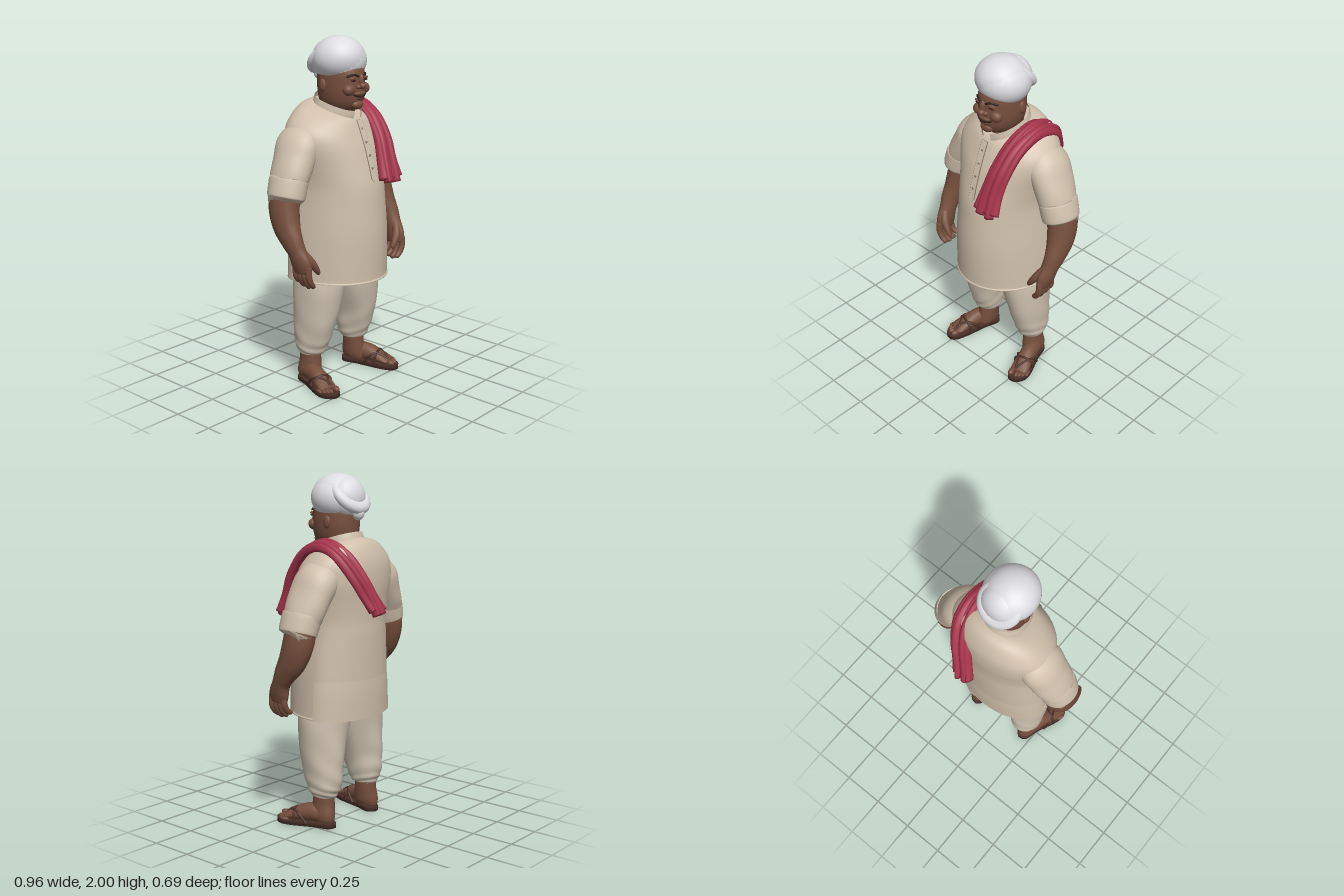
import * as THREE from 'three';

const mat = (name, color, side = THREE.FrontSide) => {
  const m = new THREE.MeshStandardMaterial({ color, side });
  m.name = name;
  return m;
};
const V = (x, y, z) => new THREE.Vector3(x, y, z);

// Catmull-Rom interpolation of rows of numbers
function smooth(rows, n = 6) {
  const out = [], last = rows.length - 1;
  for (let i = 0; i < last; i++) {
    const [a, b, c, d] = [rows[Math.max(i - 1, 0)], rows[i], rows[i + 1], rows[Math.min(i + 2, last)]];
    for (let k = 0; k < n; k++) {
      const t = k / n;
      out.push(b.map((_, j) => b[j] + 0.5 * t * (c[j] - a[j] + t * (2 * a[j] - 5 * b[j] + 4 * c[j] - d[j]
        + t * (3 * (b[j] - c[j]) + d[j] - a[j])))));
    }
  }
  out.push(rows[last]);
  return out;
}

// Skin a list of point rings; closed rings get end caps and outward winding
function loft(rings, closed = true) {
  const n = rings[0].length, pts = rings.flat(), idx = [];
  for (let i = 0; i < rings.length - 1; i++) {
    for (let j = 0; j < (closed ? n : n - 1); j++) {
      const k = (j + 1) % n, a = i * n + j, b = i * n + k;
      idx.push(a, b, a + n, b, b + n, a + n);
    }
  }
  if (closed) {
    for (const [r, flip] of [[0, true], [rings.length - 1, false]]) {
      const c = pts.length;
      pts.push(rings[r].reduce((s, p) => s.add(p), V(0, 0, 0)).divideScalar(n));
      for (let j = 0; j < n; j++) {
        const a = r * n + j, b = r * n + (j + 1) % n;
        idx.push(...(flip ? [b, a, c] : [a, b, c]));
      }
    }
    let vol = 0;
    for (let i = 0; i < idx.length; i += 3) {
      vol += pts[idx[i]].dot(V(0, 0, 0).crossVectors(pts[idx[i + 1]], pts[idx[i + 2]]));
    }
    if (vol < 0) idx.reverse();
  }
  const g = new THREE.BufferGeometry().setFromPoints(pts);
  g.setIndex(idx);
  g.computeVertexNormals();
  return g;
}

// Rows [x, y, z, rx, rz]: elliptical tube of changing size, with optional folds
function limb(rows, seg = 20, fold = () => 0) {
  const s = smooth(rows), X = V(1, 0, 0);
  return loft(s.map(([x, y, z, ra, rb], i) => {
    const p = s[Math.max(i - 1, 0)], q = s[Math.min(i + 1, s.length - 1)];
    const T = V(q[0] - p[0], q[1] - p[1], q[2] - p[2]).normalize();
    const B = T.clone().cross(X).normalize(), U = B.clone().cross(T);
    return Array.from({ length: seg }, (_, j) => {
      const a = j / seg * Math.PI * 2, f = 1 + fold(a, i / (s.length - 1));
      return V(x, y, z).addScaledVector(U, ra * f * Math.cos(a)).addScaledVector(B, rb * f * Math.sin(a));
    });
  }));
}

// Rows [y, rx, zFront, zBack, tilt]: level body rings about depth zc
function body(rows, zc, seg = 48, a0 = 0, a1 = Math.PI * 2, grow = 1) {
  const closed = a1 - a0 > 6.2, n = closed ? seg : seg + 1;
  return loft(smooth(rows).map(([y, rx, zf, zb, tilt]) => Array.from({ length: n }, (_, j) => {
    const a = a0 + (a1 - a0) * j / seg, s = Math.sin(a);
    const z = zc + s * grow * (s > 0 ? zf - zc : zc - zb);
    return V(rx * grow * Math.cos(a), y - tilt * z, z);
  })), closed);
}

export function createModel() {
  const root = new THREE.Group();
  root.name = 'standingMan';
  const M = {
    shirt: mat('shirtCream', 0xcfbfab, THREE.DoubleSide), trousers: mat('trouserCream', 0xd0c3b1),
    seam: mat('seamBrown', 0x84776a, THREE.DoubleSide), skin: mat('skinBrown', 0x764f3d),
    lip: mat('lipBrown', 0x64382f), dark: mat('darkBrown', 0x2a1c19),
    turban: mat('turbanWhite', 0xdddce1), scarf: mat('scarfRed', 0xa4334a),
    sandal: mat('sandalBrown', 0x4c3029), sole: mat('soleDark', 0x33241f),
  };
  const add = (name, geo, m, parent = root) => {
    const o = new THREE.Mesh(geo, m);
    o.name = name;
    parent.add(o);
    return o;
  };
  const ball = (name, m, p, r, parent = root) => {
    const o = add(name, new THREE.SphereGeometry(1, 28, 20), m, parent);
    o.position.set(...p);
    o.scale.set(...r);
    return o;
  };
  const cord = (name, m, pts, r, parent = root) =>
    add(name, new THREE.TubeGeometry(new THREE.CatmullRomCurve3(pts.map(p => V(...p))), 20, r, 8), m, parent);

  // Long shirt, with an overlapping back panel below the side slits
  add('shirt', body([[0.685, 0.2, 0.2, -0.12, 0], [0.657, 0.292, 0.316, -0.2, 0], [0.665, 0.296, 0.32, -0.205, 0],
    [0.9, 0.285, 0.325, -0.212, 0], [1.1, 0.268, 0.312, -0.216, 0], [1.2, 0.266, 0.3, -0.215, 0],
    [1.3, 0.283, 0.272, -0.22, 0], [1.4, 0.308, 0.24, -0.227, 0], [1.48, 0.308, 0.215, -0.222, 0.1],
    [1.54, 0.268, 0.195, -0.2, 0.18], [1.59, 0.2, 0.175, -0.165, 0.25], [1.615, 0.125, 0.15, -0.115, 0.3],
    [1.61, 0.09, 0.11, -0.09, 0.3]], -0.03), M.shirt);
  add('shirtBackPanel', body([[0.64, 0.298, 0.3, -0.207, 0], [0.78, 0.289, 0.3, -0.209, 0],
    [0.9, 0.276, 0.3, -0.205, 0]], -0.03, 32, Math.PI + 0.02, Math.PI * 2 - 0.02, 1.025), M.shirt);
  // Stand collar, open at the front
  add('collar', body([[1.575, 0.125, 0.155, -0.125, 0.3], [1.61, 0.122, 0.172, -0.118, 0.3],
    [1.65, 0.112, 0.178, -0.105, 0.3]], 0, 40, Math.PI * 0.57, Math.PI * 2.43), M.shirt);
  // Button placket
  const strip = (w, lift) => loft([[1.55, 0.18, 1], [1.505, 0.2, 1], [1.4585, 0.219, 1], [1.4, 0.242, 1],
    [1.3, 0.274, 1], [1.235, 0.292, 1], [1.21, 0.298, 0.1]]
    .map(([y, z, k]) => [V(-w * k, y, z + lift), V(w * k, y, z + lift)]), false);
  add('placketSeam', strip(0.023, 0.003), M.seam);
  add('placket', strip(0.019, 0.006), M.shirt);
  for (const [y, z] of [[1.5, 0.207], [1.43, 0.238], [1.36, 0.263], [1.29, 0.284]]) {
    ball('button', M.seam, [0, y, z], [0.007, 0.007, 0.004]);
  }

  for (const s of [1, -1]) {
    const side = s > 0 ? 'left' : 'right';
    const L = (rows, ...o) => limb(rows.map(([x, ...r]) => [x * s, ...r]), ...o);

    // Sleeves and turned cuffs
    add(side + 'Sleeve', L([[0.2, 1.48, -0.03, 0.08, 0.11], [0.26, 1.42, -0.03, 0.1, 0.134],
      [0.305, 1.34, -0.022, 0.098, 0.13], [0.345, 1.26, -0.015, 0.095, 0.122], [0.375, 1.19, -0.01, 0.088, 0.106]],
    28, (a, t) => 0.012 * Math.sin(3 * a + 9 * t)), M.shirt);
    add(side + 'Cuff', L([[0.358, 1.24, -0.01, 0.09, 0.11], [0.36, 1.235, -0.01, 0.098, 0.117],
      [0.386, 1.155, -0.005, 0.099, 0.112], [0.388, 1.148, -0.005, 0.091, 0.105]], 28), M.shirt);

    // Arm, palm, fingers and thumb
    add(side + 'Arm', L([[0.37, 1.22, -0.02, 0.08, 0.09], [0.393, 1.1, -0.015, 0.079, 0.092],
      [0.406, 1, 0.015, 0.069, 0.085], [0.414, 0.92, 0.065, 0.052, 0.068], [0.41, 0.86, 0.1, 0.044, 0.056],
      [0.405, 0.8, 0.123, 0.037, 0.066], [0.4, 0.75, 0.13, 0.027, 0.058]]), M.skin);
    for (let i = 0; i < 4; i++) {
      const z = 0.081 + i * 0.032, d = [0.025, 0.006, 0, 0.008][i];
      add(side + 'Finger', L([[0.405, 0.79, z, 0.018, 0.018], [0.405, 0.735, z + 0.002, 0.019, 0.018],
        [0.388, 0.69 + d / 2, z, 0.017, 0.0165], [0.363, 0.662 + d, z - 0.004, 0.014, 0.014],
        [0.357, 0.656 + d, z - 0.004, 0.005, 0.006]], 12), M.skin);
    }
    add(side + 'Thumb', L([[0.4, 0.86, 0.13, 0.024, 0.026], [0.37, 0.81, 0.163, 0.023, 0.024],
      [0.34, 0.765, 0.172, 0.018, 0.019], [0.322, 0.737, 0.172, 0.012, 0.013],
      [0.319, 0.732, 0.172, 0.005, 0.005]], 12), M.skin);

    // Loose trouser leg with gathered folds toward the ankle
    add(side + 'TrouserLeg', L([[0.13, 0.8, 0, 0.13, 0.16], [0.152, 0.6, 0.018, 0.138, 0.156],
      [0.176, 0.4, 0.005, 0.108, 0.136], [0.181, 0.28, -0.01, 0.094, 0.116], [0.183, 0.22, -0.015, 0.085, 0.098],
      [0.184, 0.19, -0.018, 0.073, 0.08], [0.184, 0.18, -0.018, 0.058, 0.066]],
    36, (a, t) => 0.035 * t * Math.sin(34 * t + 2 * Math.cos(a - 0.9 * s) * 2) + 0.012 * Math.sin(5 * a + 8 * t)), M.trousers);
    add(side + 'Ankle', L([[0.187, 0.24, -0.018, 0.052, 0.062], [0.19, 0.14, -0.015, 0.053, 0.07],
      [0.197, 0.07, -0.015, 0.055, 0.08], [0.198, 0.035, -0.015, 0.045, 0.075]]), M.skin);

    // Foot and sandal, turned outward
    const foot = new THREE.Group();
    foot.name = side + 'Foot';
    foot.position.set(0.235 * s, 0, 0.08);
    foot.rotation.y = 0.3 * s;
    root.add(foot);
    add('footBody', L([[0, 0.05, -0.168, 0.02, 0.018], [0, 0.058, -0.15, 0.04, 0.034], [0, 0.075, -0.08, 0.048, 0.052],
      [0, 0.075, -0.01, 0.047, 0.052], [0, 0.058, 0.06, 0.053, 0.036], [0, 0.044, 0.11, 0.054, 0.022],
      [0, 0.04, 0.135, 0.045, 0.014]]), M.skin, foot);
    for (let i = 0; i < 5; i++) {
      const r = i ? 0.0125 - i * 0.0006 : 0.018;
      ball('toe', M.skin, [s * (i ? -0.019 + i * 0.0185 : -0.036), 0.022 + r, 0.149 - i * i * 0.0022],
        [r, r, 0.026], foot);
    }
    const outline = new THREE.Shape(new THREE.SplineCurve([[0, -0.186], [0.042, -0.155], [0.043, -0.06], [0.06, 0.07],
      [0.05, 0.145], [0, 0.186], [-0.052, 0.165], [-0.06, 0.08], [-0.045, -0.06], [-0.042, -0.155], [0, -0.186]]
      .map(([x, y]) => new THREE.Vector2(x * s, y))).getPoints(40));
    for (const [name, m, y, h] of [['outsole', M.sole, 0, 0.014], ['insole', M.sandal, 0.014, 0.012]]) {
      const o = add(name, new THREE.ExtrudeGeometry(outline, { depth: h, bevelEnabled: false }), m, foot);
      o.rotation.x = Math.PI / 2;
      o.position.y = y + h;
    }
    for (const k of [1, -1]) {
      cord('thongStrap', M.sandal, [[-0.016 * s, 0.03, 0.14], [(-0.014 + 0.006 * k) * s, 0.062, 0.115],
        [0.034 * k, 0.086, 0.055], [0.054 * k, 0.07, 0.02], [0.052 * k, 0.02, -0.02]], 0.008, foot);
    }
    cord('instepStrap', M.sandal, [[-0.058, 0.02, 0.05], [-0.052, 0.07, 0.055], [0, 0.096, 0.06],
      [0.052, 0.07, 0.055], [0.058, 0.02, 0.05]], 0.008, foot);
  }

  // Neck and head
  add('neck', limb([[0, 1.5, 0.02, 0.1, 0.11], [0, 1.6, 0.025, 0.096, 0.1], [0, 1.74, 0.02, 0.1, 0.1]]), M.skin);
  add('head', body([[1.583, 0.05, 0.11, -0.03, 0], [1.605, 0.082, 0.16, -0.06, 0], [1.645, 0.105, 0.186, -0.08, 0],
    [1.7, 0.117, 0.196, -0.088, 0], [1.76, 0.119, 0.196, -0.09, 0], [1.8, 0.117, 0.194, -0.09, 0],
    [1.84, 0.11, 0.178, -0.09, 0], [1.9, 0.08, 0.13, -0.07, 0]], 0.04), M.skin);
  const faceZ = x => 0.04 + 0.157 * Math.sqrt(1 - (x / 0.118) ** 2);
  ball('noseBridge', M.skin, [0, 1.765, 0.195], [0.015, 0.036, 0.018]);
  ball('noseTip', M.skin, [0, 1.737, 0.207], [0.021, 0.018, 0.023]);
  ball('chin', M.skin, [0, 1.632, 0.168], [0.042, 0.028, 0.028]);
  ball('lowerLip', M.lip, [0, 1.668, 0.192], [0.032, 0.008, 0.01]);
  ball('upperLip', M.skin, [0, 1.694, 0.191], [0.04, 0.013, 0.013]);
  cord('mouth', M.dark, [-0.052, -0.028, 0, 0.028, 0.052].map(x => [x, 1.677 + 5 * x * x, faceZ(x) + 0.003]), 0.0045);
  for (const s of [1, -1]) {
    ball('nostril', M.skin, [0.02 * s, 1.732, 0.195], [0.014, 0.012, 0.015]);
    ball('cheek', M.skin, [0.062 * s, 1.716, 0.162], [0.036, 0.032, 0.031]);
    ball('ear', M.skin, [0.117 * s, 1.735, 0.02], [0.013, 0.036, 0.024]);
    ball('eye', M.dark, [0.047 * s, 1.766, faceZ(0.047)], [0.02, 0.006, 0.006]);
    ball('eyelid', M.skin, [0.047 * s, 1.778, faceZ(0.047) - 0.002], [0.026, 0.009, 0.01]);
    cord('eyebrow', M.dark, [0.018, 0.045, 0.078].map((x, i) => [x * s, [1.788, 1.799, 1.788][i], faceZ(x) + 0.001]), 0.006);
  }

  // Turban: two overlapping wraps, crown, rolled rim and knot
  for (const k of [1, -1]) {
    ball('turbanWrap', M.turban, [0.006 * k - 0.003, 1.868 - 0.007 * k, 0.04], [0.146, 0.126, 0.151]).rotation.x = -0.12;
  }
  ball('turbanCrown', M.turban, [0, 1.862, -0.025], [0.118, 0.118, 0.1]);
  const rim = add('turbanRim', new THREE.TorusGeometry(0.086, 0.036, 16, 48), M.turban);
  rim.position.set(-0.003, 1.882, -0.048);
  rim.rotation.x = 0.75;
  rim.scale.set(1.06, 1.1, 0.9);
  ball('turbanKnot', M.turban, [0, 1.785, -0.11], [0.034, 0.042, 0.034]);

  // Scarf over the left shoulder: [centre x, y, z, half width], laid in long folds
  const drape = [[0.128, 1.205, 0.312, 0.062], [0.135, 1.32, 0.272, 0.05], [0.152, 1.44, 0.222, 0.045],
    [0.168, 1.55, 0.138, 0.042], [0.182, 1.612, 0.035, 0.04], [0.183, 1.613, -0.06, 0.042],
    [0.168, 1.55, -0.152, 0.045], [0.13, 1.44, -0.222, 0.045], [0.092, 1.34, -0.262, 0.042],
    [0.06, 1.25, -0.298, 0.042]];
  const end = drape.length - 1;
  for (let i = 0; i < 5; i++) {
    const u = i / 2 - 1;
    add('scarfFold', limb(drape.map(([x, y, z, w], j) => {
      const tip = j === 0 || j === end, drop = tip ? [0.01, -0.008, 0.004, -0.012, 0.012][i] : 0;
      const out = [0, 0.012, -0.002, 0.014, 0][i];
      return [x + u * w, y + drop - (u > 0 ? 0.02 * u * (1 - Math.abs(j - 4.5) / 4.5) : 0) + (tip ? 0 : out / 2),
        z + Math.sign(z) * out * Math.min(1, Math.abs(z) * 6), 0.021 + (w - 0.04) * 0.25, tip ? 0.026 : 0.023];
    }), 16, (a, t) => 0.09 * Math.sin(3 * a + 7 * t + i * 2)), M.scarf);
  }
  return root;
}
